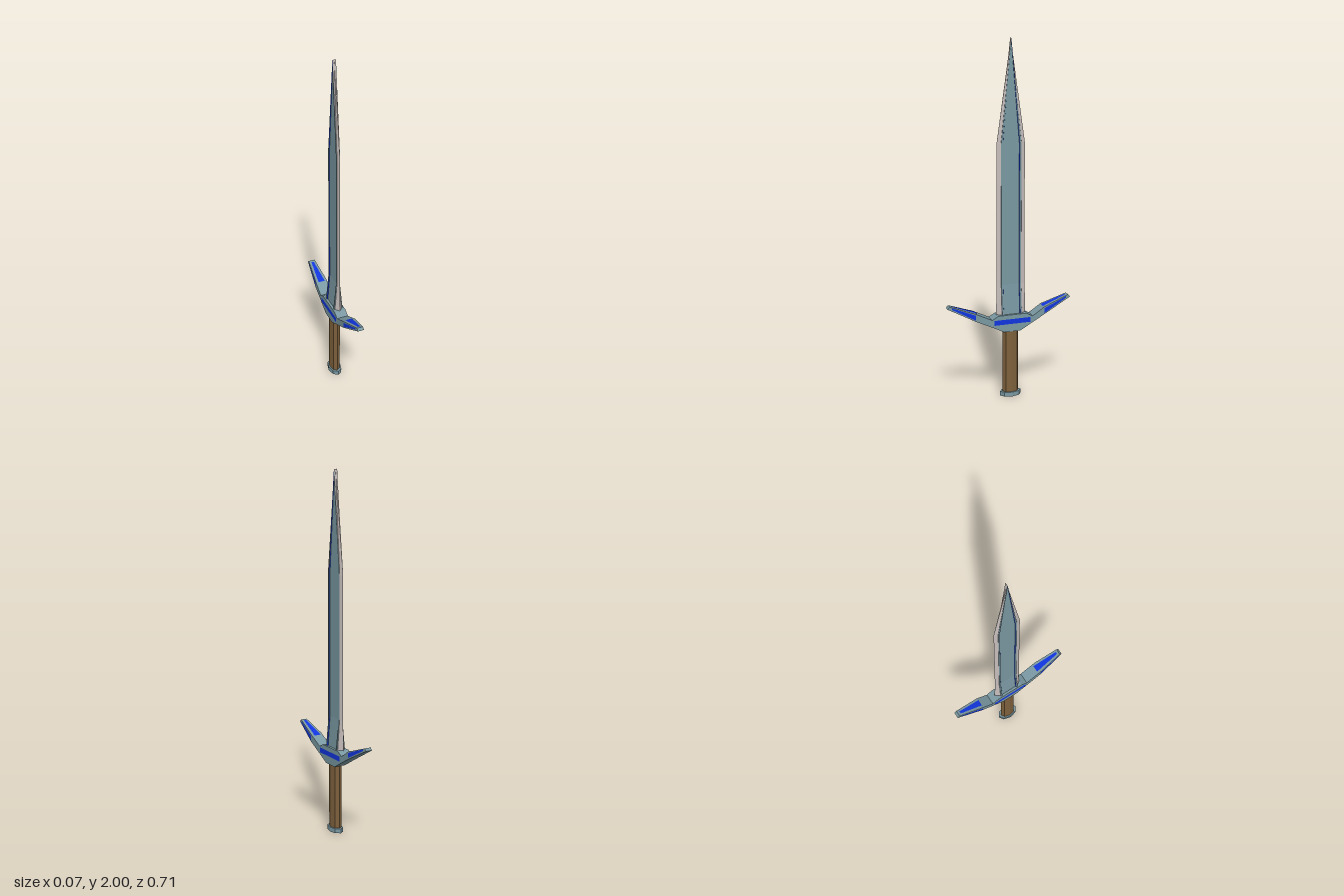
import * as THREE from 'three';

const flat = (name, color) => {
  const m = new THREE.MeshStandardMaterial({ color });
  m.name = name;
  return m;
};

// Flat-shaded mesh from four-cornered faces
function quadMesh(name, material, quads) {
  const pos = [];
  for (const [a, b, c, d] of quads) pos.push(...a, ...b, ...c, ...a, ...c, ...d);
  const g = new THREE.BufferGeometry();
  g.setAttribute('position', new THREE.Float32BufferAttribute(pos, 3));
  g.computeVertexNormals();
  const mesh = new THREE.Mesh(g, material);
  mesh.name = name;
  return mesh;
}

// Joins matching closed loops; returns one list of faces for each strip
function loft(sections) {
  const n = sections[0].length;
  return Array.from({ length: n }, (_, j) => {
    const k = (j + 1) % n;
    return sections.slice(1).map((s, i) => [sections[i][j], sections[i][k], s[k], s[j]]);
  });
}

const MID = -0.012; // centre line of blade and grip in z

// Blade: sharp bevels, a raised rim and a coloured step down to the fuller
function makeBlade(steel, edge, blue) {
  const section = (y, edgeX, rimX, floorX, edgeZ, s) => {
    const half = [[0, edgeZ], [edgeX, 0.058 * s], [rimX, 0.057 * s], [rimX, 0.048 * s], [floorX, 0.046 * s]];
    const side = [...half, ...half.slice(1).reverse().map(([x, z]) => [x, -z])];
    const loop = [...side, ...side.map(([x, z]) => [-x, -z])];
    return loop.map(([x, z]) => [x, y, MID + z]);
  };
  const strips = loft([
    section(0.46, 0.022, 0.028, 0.021, 0.086, 1),
    section(0.65, 0.0085, 0.01, 0.007, 0.081, 1),
    section(1.44, 0.0085, 0.01, 0.007, 0.08, 1),
    section(2.0, 0.0085, 0.01, 0.007, 0, 0),
  ]);
  const kinds = 'essbsbsse'; // edge, steel, blue strips across one side
  const pick = (k) => strips.filter((_, j) => kinds[j % 9] === k).flat();
  const blade = new THREE.Group();
  blade.name = 'blade';
  blade.add(
    quadMesh('cuttingEdges', edge, pick('e')),
    quadMesh('bladeBody', steel, pick('s')),
    quadMesh('fullerInlay', blue, pick('b')),
  );
  return blade;
}

// Crossguard stations: z at bottom, z at top, bottom y, top y, half width
const GUARD = [
  [-0.358, -0.345, 0.547, 0.56, 0.018],
  [-0.2, -0.2, 0.465, 0.508, 0.033],
  [-0.13, -0.13, 0.426, 0.462, 0.033],
  [-0.058, -0.095, 0.385, 0.482, 0.033],
  [0.035, 0.07, 0.385, 0.482, 0.033],
  [0.105, 0.105, 0.42, 0.462, 0.033],
  [0.2, 0.2, 0.465, 0.508, 0.033],
  [0.355, 0.342, 0.547, 0.56, 0.018],
];

function makeGuard(steel, blue) {
  const guard = new THREE.Group();
  guard.name = 'crossguard';
  const loops = GUARD.map(([zb, zt, b, t, w]) => [[w, b, zb], [w, t, zt], [-w, t, zt], [-w, b, zb]]);
  const faces = loft(loops).flat();
  faces.push([...loops[0]].reverse(), loops[loops.length - 1]);
  guard.add(quadMesh('guardBody', steel, faces));

  // Inlays lie just proud of the guard
  const lift = 0.002;
  const at = (z) => {
    const i = Math.max(1, GUARD.findIndex((s) => s[1] >= z));
    const p = GUARD[i - 1], q = GUARD[i];
    const f = (z - p[1]) / (q[1] - p[1]);
    return p.map((v, k) => v + (q[k] - v) * f);
  };
  const inlays = [];
  for (const dir of [1, -1]) {
    // Tapered plate on top of each wing
    const z0 = dir > 0 ? 0.2 : -0.2, z1 = dir * 0.331, zi = dir > 0 ? 0.185 : -0.196;
    const y0 = at(zi)[3] + lift, y1 = at(z1)[3] + lift, ym = at(z0)[3] + lift;
    const strip = (za, ya, wa, zb, yb, wb) => {
      const q = [[-wa, ya, za], [wa, ya, za], [wb, yb, zb], [-wb, yb, zb]];
      inlays.push(dir > 0 ? q.reverse() : q);
    };
    strip(zi, y0, 0.02, z0, ym, 0.0185);
    strip(z0, ym, 0.0185, z1, y1, 0.007);
    // Plates on both flanks of each wing
    for (const s of [1, -1]) {
      const corner = (z, f) => {
        const [, , b, t, w] = at(z);
        return [s * (w + lift), b + (t - b) * f, z];
      };
      const q = [corner(z0, 0.17), corner(z0, 0.83), corner(z1, 0.8), corner(z1, 0.2)];
      inlays.push(s * dir > 0 ? q : q.reverse());
    }
  }
  // Long bar on each flank of the centre block
  for (const s of [1, -1]) {
    const x = s * (0.033 + lift);
    const q = [[x, 0.43, -0.116], [x, 0.458, -0.116], [x, 0.458, 0.095], [x, 0.43, 0.095]];
    inlays.push(s > 0 ? q : q.reverse());
  }
  guard.add(quadMesh('guardInlays', blue, inlays));
  return guard;
}

// Eight-sided oval bar for grip and pommel
function ovalBar(name, material, rx, rz, y0, y1) {
  const g = new THREE.CylinderGeometry(1, 1, y1 - y0, 8).toNonIndexed();
  g.scale(rx, 1, rz);
  g.translate(0, (y0 + y1) / 2, MID + 0.002);
  g.computeVertexNormals();
  const mesh = new THREE.Mesh(g, material);
  mesh.name = name;
  return mesh;
}

export function createModel() {
  const steel = flat('blueSteel', 0x7a98a2);
  const edge = flat('paleEdge', 0xc6bebc);
  const blue = flat('blueInlay', 0x1235de);
  const wood = flat('brownGrip', 0x7d603c);

  const sword = new THREE.Group();
  sword.name = 'sword';
  sword.add(
    makeBlade(steel, edge, blue),
    makeGuard(steel, blue),
    ovalBar('grip', wood, 0.028, 0.046, 0.02, 0.395),
    ovalBar('pommel', steel, 0.036, 0.06, 0, 0.025),
  );
  return sword;
}
